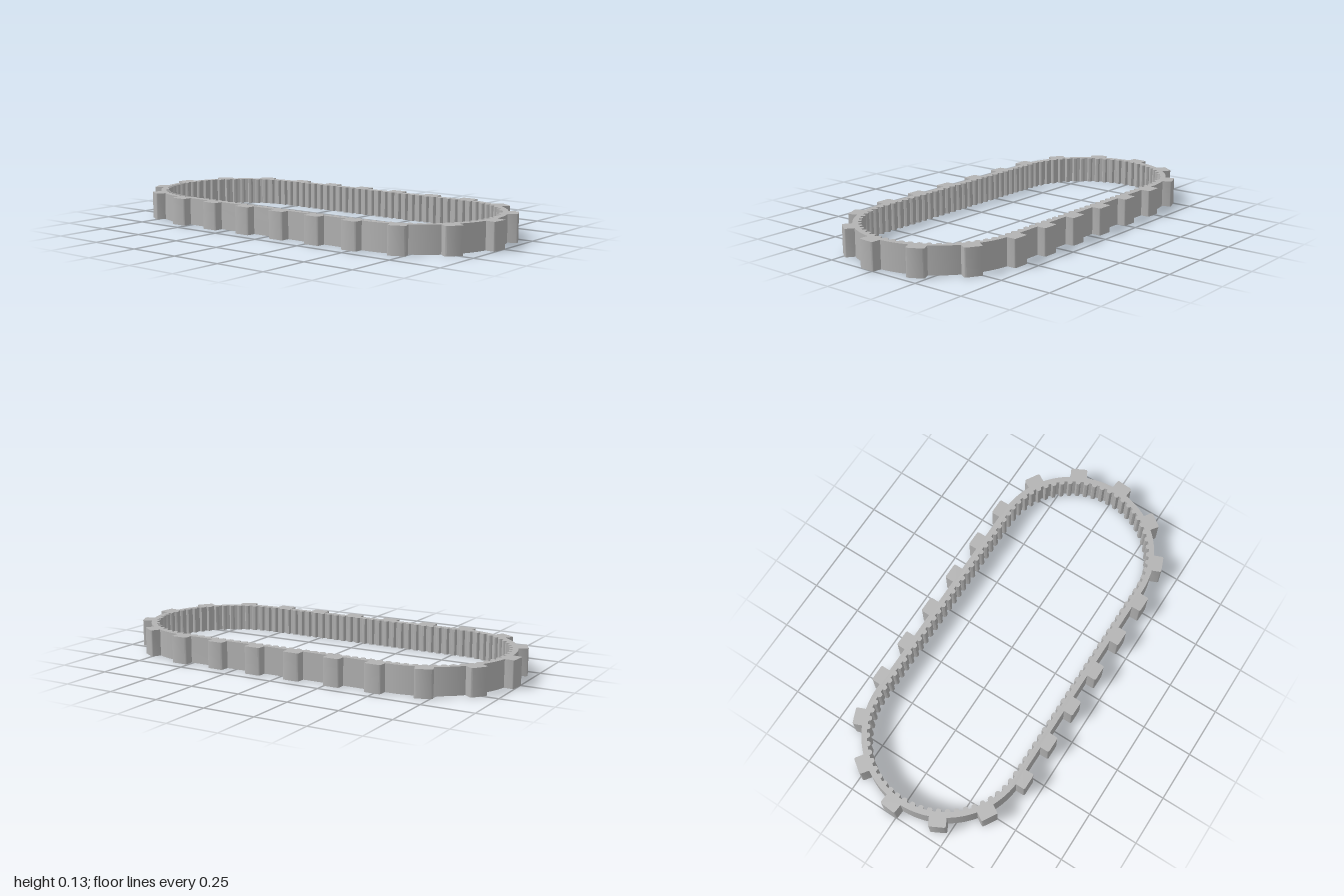
import * as THREE from 'three';
import { toCreasedNormals } from 'three/addons/utils/BufferGeometryUtils.js';

const HEIGHT = 0.13;
const HALF = 0.555;      // half length of the straight runs
const OUTER = 0.402;     // outer radius of the band
const PITCH = 0.376;     // inner radius of the band, where the teeth start
const TOOTH = 0.015;     // tooth depth
const LUGS = 22;
const TEETH = LUGS * 5;
const STRAIGHT = 2 * HALF;
const ARC = Math.PI * PITCH;
const LENGTH = 2 * (STRAIGHT + ARC);

// Position and outward angle on the loop at distance s, moved outward by d
function onLoop(s, d) {
  let u = (((s + 0.55 + HALF) % LENGTH) + LENGTH) % LENGTH;
  const side = u < LENGTH / 2 ? 1 : -1;
  u %= LENGTH / 2;
  const r = PITCH + d;
  let x, y, angle;
  if (u < STRAIGHT) {
    angle = Math.PI / 2;
    x = u - HALF;
    y = r;
  } else {
    angle = Math.PI / 2 - (u - STRAIGHT) / PITCH;
    x = HALF + r * Math.cos(angle);
    y = r * Math.sin(angle);
  }
  return { point: new THREE.Vector2(x * side, y * side), angle: side > 0 ? angle : angle + Math.PI };
}

// Extrude a plan shape upward from the ground
function extrudeUp(shape, crease) {
  const geometry = new THREE.ExtrudeGeometry(shape, { depth: HEIGHT, bevelEnabled: false, curveSegments: 48 });
  geometry.rotateX(-Math.PI / 2);
  return toCreasedNormals(geometry, crease);
}

export function createModel() {
  const group = new THREE.Group();
  group.name = 'toothedBelt';
  const rubber = new THREE.MeshStandardMaterial({ color: 0xb2b2b2 });
  rubber.name = 'grey rubber';

  // Band: smooth outside, rounded teeth all along the inside
  const band = new THREE.Shape();
  band.moveTo(-HALF, -OUTER);
  band.lineTo(HALF, -OUTER);
  band.absarc(HALF, 0, OUTER, -Math.PI / 2, Math.PI / 2, false);
  band.lineTo(-HALF, OUTER);
  band.absarc(-HALF, 0, OUTER, Math.PI / 2, Math.PI * 1.5, false);

  const step = LENGTH / TEETH;
  const profile = [[-0.32, 0], [-0.28, 0.6], [-0.17, 0.93], [0, 1], [0.17, 0.93], [0.28, 0.6], [0.32, 0]];
  const inner = [];
  for (let i = 0; i < TEETH; i++) {
    for (const [along, depth] of profile) {
      inner.push(onLoop((i + along) * step, -depth * TOOTH).point);
    }
  }
  band.holes.push(new THREE.Path(inner));
  const bandMesh = new THREE.Mesh(extrudeUp(band, 0.6), rubber);
  bandMesh.name = 'toothedBand';
  group.add(bandMesh);

  // Lugs: blocks with slightly clipped outer corners, rooted in the band
  const w = 0.041, top = 0.0445, clip = 0.007, root = -0.014;
  const lug = new THREE.Shape([
    [-w, root], [w, root], [w, top - clip], [w - clip * 0.3, top - clip * 0.3], [w - clip, top],
    [-w + clip, top], [-w + clip * 0.3, top - clip * 0.3], [-w, top - clip],
  ].map(([x, y]) => new THREE.Vector2(x, y)));
  const lugGeometry = extrudeUp(lug, 0.9);
  for (let i = 0; i < LUGS; i++) {
    const { point, angle } = onLoop(i * LENGTH / LUGS, OUTER - PITCH);
    const mesh = new THREE.Mesh(lugGeometry, rubber);
    mesh.name = 'lug' + (i + 1);
    mesh.position.set(point.x, 0, -point.y);
    mesh.rotation.y = angle - Math.PI / 2;
    group.add(mesh);
  }
  return group;
}
